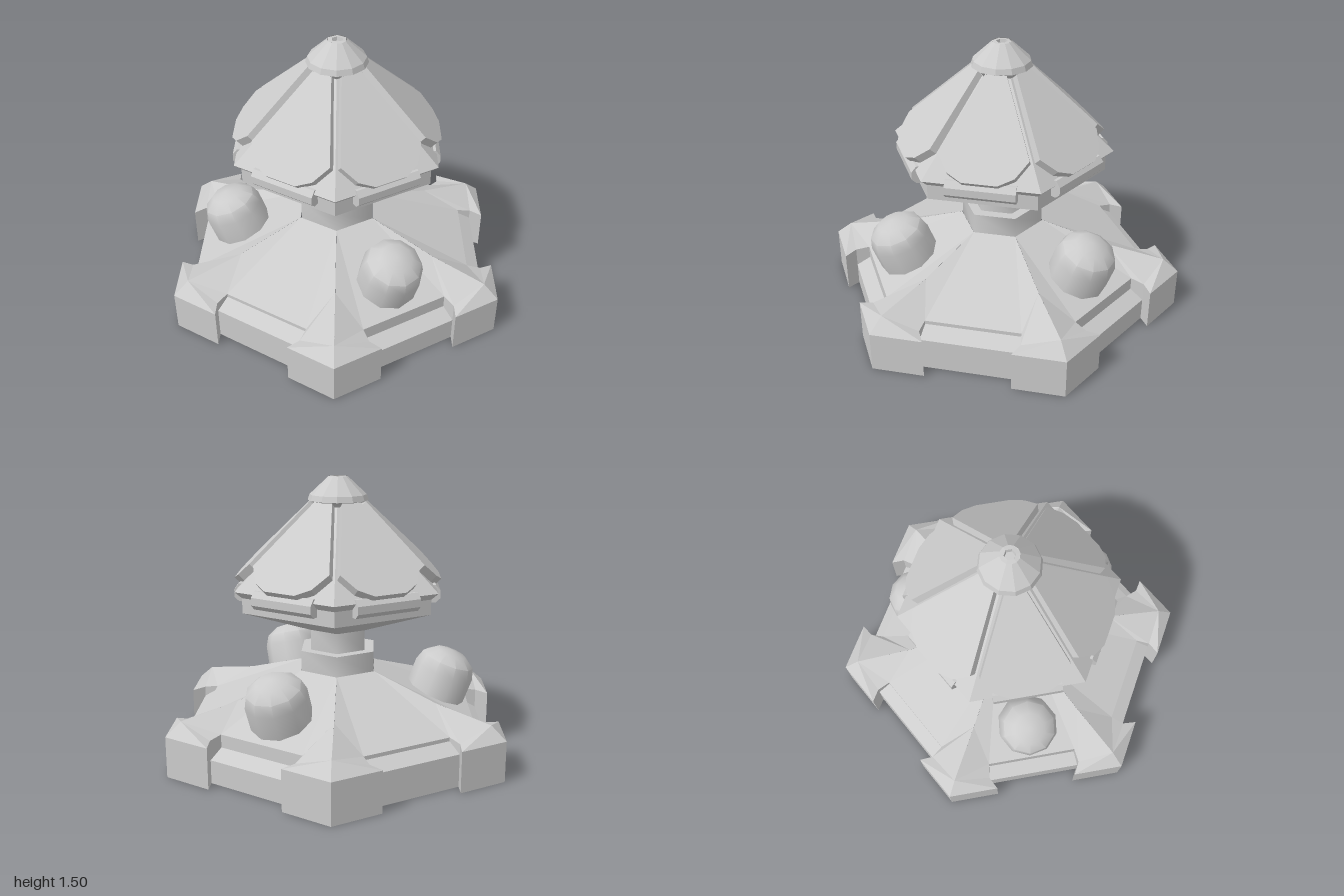
import * as THREE from 'three';
import { toCreasedNormals } from 'three/addons/utils/BufferGeometryUtils.js';

const flat = new THREE.MeshStandardMaterial({ color: 0xcccccc, flatShading: true, side: THREE.DoubleSide });
const smooth = new THREE.MeshStandardMaterial({ color: 0xcccccc, side: THREE.DoubleSide });
const SIXTH = Math.PI / 3;

function add(parent, name, geometry, material = flat) {
  const mesh = new THREE.Mesh(geometry, material);
  mesh.name = name;
  parent.add(mesh);
  return mesh;
}

// Turned profile of [radius, y] pairs; six sides put a corner on the x axis
function turned(profile, sides = 6) {
  return new THREE.LatheGeometry(profile.map(([r, y]) => new THREE.Vector2(r, y)), sides, Math.PI / 6);
}

// Convex polygons split into fans
function facets(polygons) {
  const pos = [];
  for (const p of polygons)
    for (let i = 1; i < p.length - 1; i++) pos.push(...p[0], ...p[i], ...p[i + 1]);
  const g = new THREE.BufferGeometry();
  g.setAttribute('position', new THREE.Float32BufferAttribute(pos, 3));
  g.computeVertexNormals();
  return g;
}

// One sixth of the open base shell, facing +z: roof slope, notched edge, two half corner blocks
function baseSector(lip, ledge) {
  const top = [0.115, 0.46, 0.2], ridge = [0.3, 0.348, 0.52], peak = [0.4575, 0.29, 0.792];
  const corner = [0.5, 0.22, 0.866], block = [0.225, 0.22, 0.866], notch = [0.26, 0.23, 0.8];
  const lipTop = [0.25, 0.24, 0.725], lipLow = [0.25, lip, 0.725], edge = [0.26, ledge, 0.8];
  const ground = ([x, , z]) => [x, 0, z];
  const flip = ([x, y, z]) => [-x, y, z];
  const half = [
    [top, lipTop, ridge],
    [ridge, lipTop, notch, peak],
    [notch, block, peak],
    [block, corner, peak],
    [ground(block), ground(corner), corner, block],
    [ground(notch), ground(block), block, notch],
    [lipLow, edge, notch, lipTop],
  ];
  const mirrored = half.map((p) => p.map(flip).reverse());
  const span = (a, b) => [flip(a), a, b, flip(b)];
  const middle = [span(lipTop, top), span(lipLow, lipTop), span(edge, lipLow), span(ground(edge), edge)];
  return facets([...half, ...mirrored, ...middle]);
}

// Raised roof plate lying on a 45 degree slope
function roofPlate() {
  const right = [[0.09, 0], [0.17, 0.045], [0.23, 0.14], [0.055, 0.57]];
  const left = right.map(([x, y]) => [-x, y]).reverse();
  const shape = new THREE.Shape([...right, ...left].map(([x, y]) => new THREE.Vector2(x, y)));
  return new THREE.ExtrudeGeometry(shape, { depth: 0.045, bevelEnabled: false })
    .translate(0, 0, -0.045).rotateX(-Math.PI / 4).translate(0, 0.97, 0.55);
}

// Chamfered bar clipped around the rim
function rimClip() {
  const profile = [[0.46, 0.86], [0.515, 0.86], [0.54, 0.885], [0.54, 0.925], [0.515, 0.955], [0.46, 0.955]];
  const shape = new THREE.Shape(profile.map(([z, y]) => new THREE.Vector2(z, y)));
  return new THREE.ExtrudeGeometry(shape, { depth: 0.36, bevelEnabled: false })
    .translate(0, 0, -0.18).rotateY(-Math.PI / 2);
}

export function createModel() {
  const model = new THREE.Group();
  model.name = 'hexagonalTower';

  // Base shell, with deeper ledges below the domes
  const base = new THREE.Group();
  base.name = 'base';
  model.add(base);
  const deep = baseSector(0.17, 0.125), shallow = baseSector(0.22, 0.175);
  for (let k = 0; k < 6; k++)
    add(base, 'baseSector', k % 2 ? shallow : deep).rotation.y = k * SIXTH;

  // Three domed tubes tilted outward, open underneath
  const tube = toCreasedNormals(turned([
    [0.165, -0.17], [0.165, 0], [0.145, 0.06], [0.085, 0.105], [0, 0.118],
  ], 10), 0.75);
  for (let k = 0; k < 6; k += 2) {
    const pod = new THREE.Group();
    pod.name = 'domePod';
    pod.rotation.y = k * SIXTH;
    const dome = add(pod, 'dome', tube, smooth);
    dome.position.set(0, 0.44, 0.588);
    dome.rotation.x = 0.35;
    model.add(pod);
  }

  // Stepped neck
  const neck = turned([[0.225, 0.45], [0.225, 0.57], [0.168, 0.57], [0.168, 0.69]]);
  add(model, 'neck', toCreasedNormals(neck, 1.2), smooth);

  // Head: underside, rim and roof
  const head = new THREE.Group();
  head.name = 'head';
  model.add(head);
  add(head, 'headShell', turned([[0.165, 0.68], [0.56, 0.82], [0.56, 0.9], [0.6, 0.935], [0.14, 1.35]]));
  const plate = roofPlate(), clip = rimClip();
  for (let k = 0; k < 6; k++) {
    add(head, 'roofPlate', plate).rotation.y = k * SIXTH;
    add(head, 'rimClip', clip).rotation.y = k * SIXTH;
  }

  // Cap with a small sunken hole
  add(head, 'cap', turned([[0.13, 1.36], [0.162, 1.375], [0.152, 1.405], [0.05, 1.5]], 12));
  add(head, 'capTop', turned([[0.052, 1.498], [0.03, 1.5], [0.026, 1.48], [0, 1.48]]));
  return model;
}
